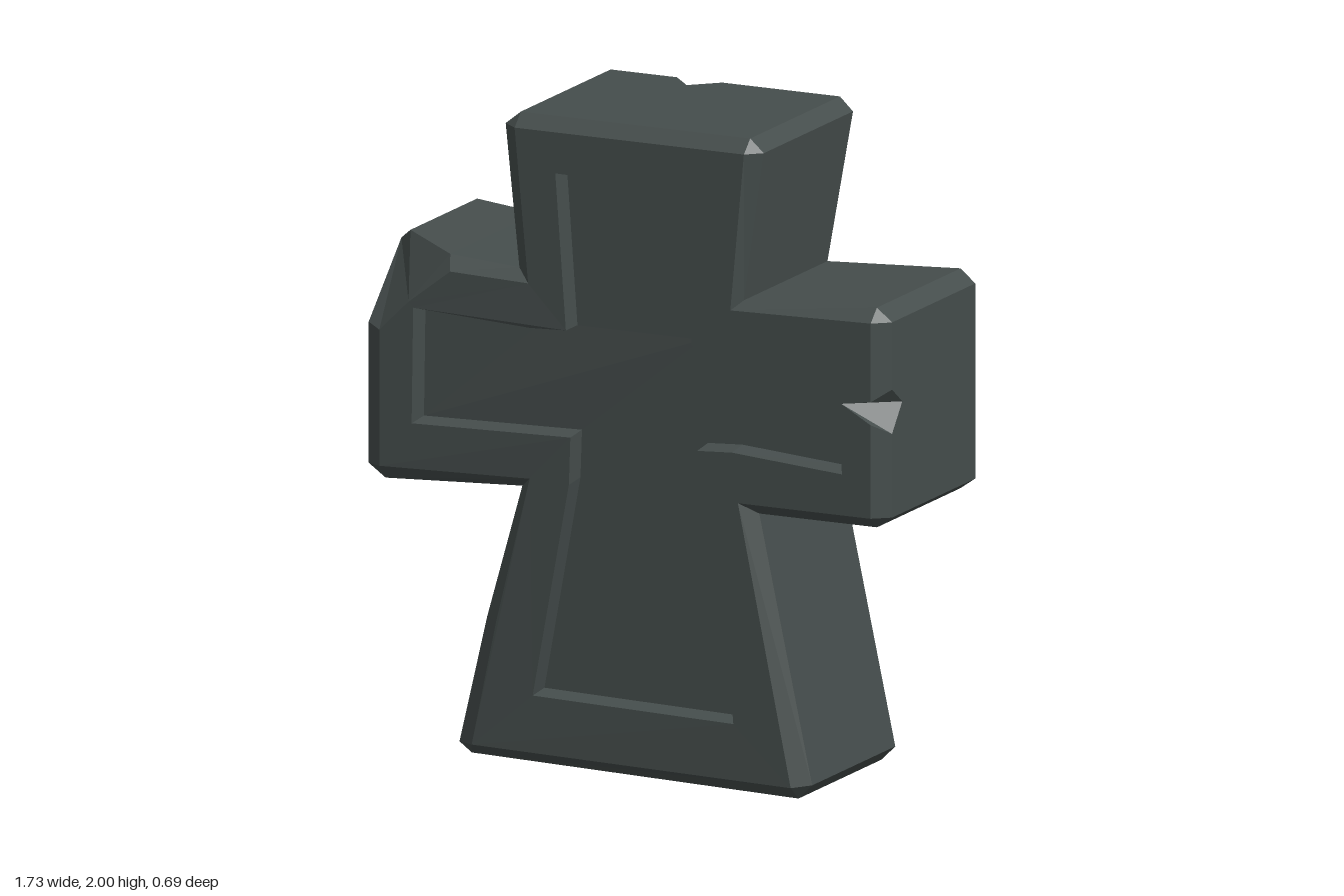
import * as THREE from 'three';

// Outline, counter-clockwise: outer x, outer y, bevelled-face x, face y, overrides
// fz / bz: depth of the outer edge, fi / bi: face point where a chip cuts in
const outline = [
  [-0.48, 0.45, -0.43, 0.45],
  [-0.57, 0.06, -0.51, 0.065],
  [-0.53, 0.03, -0.51, 0.065],
  [0.55, 0.005, 0.545, 0.045],
  [0.595, 0.05, 0.545, 0.045],
  [0.42, 0.86, 0.37, 0.895],
  [0.81, 0.86, 0.81, 0.895],
  [0.86, 0.895, 0.81, 0.895],
  // crack in the end of the left arm
  [0.86, 1.15, 0.81, 1.18],
  [0.86, 1.235, 0.81, 1.235, { fz: 0.22, fi: [0.712, 1.235] }],
  [0.86, 1.285, 0.81, 1.25],
  [0.86, 1.49, 0.81, 1.49],
  [0.81, 1.53, 0.81, 1.49],
  [0.37, 1.505, 0.345, 1.48],
  [0.435, 1.96, 0.39, 1.96],
  [0.39, 2.0, 0.39, 1.96],
  // nick in the rear top edge
  [0.0, 2.0, 0.0, 1.96],
  [-0.08, 2.0, -0.08, 1.96, { bz: -0.23, bi: [-0.09, 1.9] }],
  [-0.15, 2.0, -0.14, 1.96],
  [-0.37, 2.0, -0.37, 1.96],
  [-0.42, 1.96, -0.37, 1.96],
  [-0.375, 1.525, -0.325, 1.49],
  // broken corner of the right arm
  [-0.6, 1.543, -0.58, 1.5],
  [-0.81, 1.56, -0.81, 1.52, { fz: 0.14, fi: [-0.715, 1.395] }],
  [-0.865, 1.52, -0.81, 1.52, { fz: 0.09, fi: [-0.715, 1.395] }],
  [-0.865, 1.31, -0.81, 1.3],
  [-0.865, 0.88, -0.81, 0.885],
  [-0.81, 0.84, -0.81, 0.885],
  [-0.365, 0.86, -0.32, 0.895],
];

// Rim of the sunken panel, counter-clockwise
const rim = [
  [-0.235, 1.835], [-0.2, 1.36], [-0.32, 1.355], [-0.7, 1.378], [-0.705, 1.025],
  [-0.185, 1.035], [-0.19, 0.89], [-0.31, 0.235], [0.355, 0.22], [0.325, 0.58],
  [0.235, 1.04], [0.35, 1.047], [0.715, 1.02], [0.69, 1.375], [0.215, 1.36], [0.25, 1.83],
];

const BEVEL = 0.042;
const PANEL_DEPTH = 0.075;

// Slightly uneven front and back faces
const frontZ = (x, y) => 0.33 + 0.016 * Math.max(0, (-x - 0.4) / 0.4);
const backZ = (x, y) =>
  -0.305 - 0.043 * Math.max(0, (y - 1.5) / 0.5)
  - (y > 0.83 && y < 1.6 ? 0.033 * Math.max(0, (-x - 0.37) / 0.44) : 0);

const point = (x, y, z) => new THREE.Vector3(x, y, z);

function addTriangle(out, a, b, c) {
  const n = b.clone().sub(a).cross(c.clone().sub(a));
  if (n.length() < 1e-9) return;
  for (const p of [a, b, c]) out.push(p.x, p.y, p.z);
}

// Strip of quads between two closed loops
function addStrip(out, a, b) {
  a.forEach((p, i) => {
    const j = (i + 1) % a.length;
    addTriangle(out, p, a[j], b[j]);
    addTriangle(out, p, b[j], b[i]);
  });
}

// Flat cap, with an optional hole, facing +z or -z
function addCap(out, loop, hole, facing) {
  const flat = (l) => l.map((p) => new THREE.Vector2(p.x, p.y));
  const all = hole ? [...loop, ...hole] : loop;
  for (const t of THREE.ShapeUtils.triangulateShape(flat(loop), hole ? [flat(hole)] : [])) {
    const [a, b, c] = t.map((i) => all[i]);
    const turn = (b.x - a.x) * (c.y - a.y) - (b.y - a.y) * (c.x - a.x);
    if (turn * facing > 0) addTriangle(out, a, b, c);
    else addTriangle(out, a, c, b);
  }
}

function makeMesh(name, positions, material) {
  const geometry = new THREE.BufferGeometry();
  geometry.setAttribute('position', new THREE.Float32BufferAttribute(positions, 3));
  geometry.computeVertexNormals();
  const mesh = new THREE.Mesh(geometry, material);
  mesh.name = name;
  return mesh;
}

export function createModel() {
  const stone = new THREE.MeshStandardMaterial({ color: 0x454d4c });
  stone.name = 'dark stone';

  const frontFace = outline.map(([, , x, y, o = {}]) => {
    const [u, v] = o.fi ?? [x, y];
    return point(u, v, frontZ(u, v));
  });
  const frontEdge = outline.map(([x, y, , , o = {}]) => point(x, y, o.fz ?? frontZ(x, y) - BEVEL));
  const backEdge = outline.map(([x, y, , , o = {}]) => point(x, y, o.bz ?? backZ(x, y) + BEVEL));
  const backFace = outline.map(([, , x, y, o = {}]) => {
    const [u, v] = o.bi ?? [x, y];
    return point(u, v, backZ(u, v));
  });
  const panelRim = rim.map(([x, y]) => point(x, y, frontZ(x, y)));
  // floor is a touch smaller than the rim, giving the lower walls a slight slope
  const panelFloor = rim.map(([x, y]) => point(x * 0.995, y + (y < 1.2 ? 0.008 : 0), frontZ(x, y) - PANEL_DEPTH));

  // Body: back, bevels, sides and the border around the panel
  const body = [];
  addCap(body, backFace, null, -1);
  addStrip(body, backFace, backEdge);
  addStrip(body, backEdge, frontEdge);
  addStrip(body, frontEdge, frontFace);
  addCap(body, frontFace, panelRim, 1);

  // Sunken panel: walls and floor
  const panel = [];
  addStrip(panel, panelRim, panelFloor);
  addCap(panel, panelFloor, null, 1);

  const group = new THREE.Group();
  group.name = 'stoneCross';
  group.add(makeMesh('crossBody', body, stone), makeMesh('sunkenPanel', panel, stone));
  return group;
}
